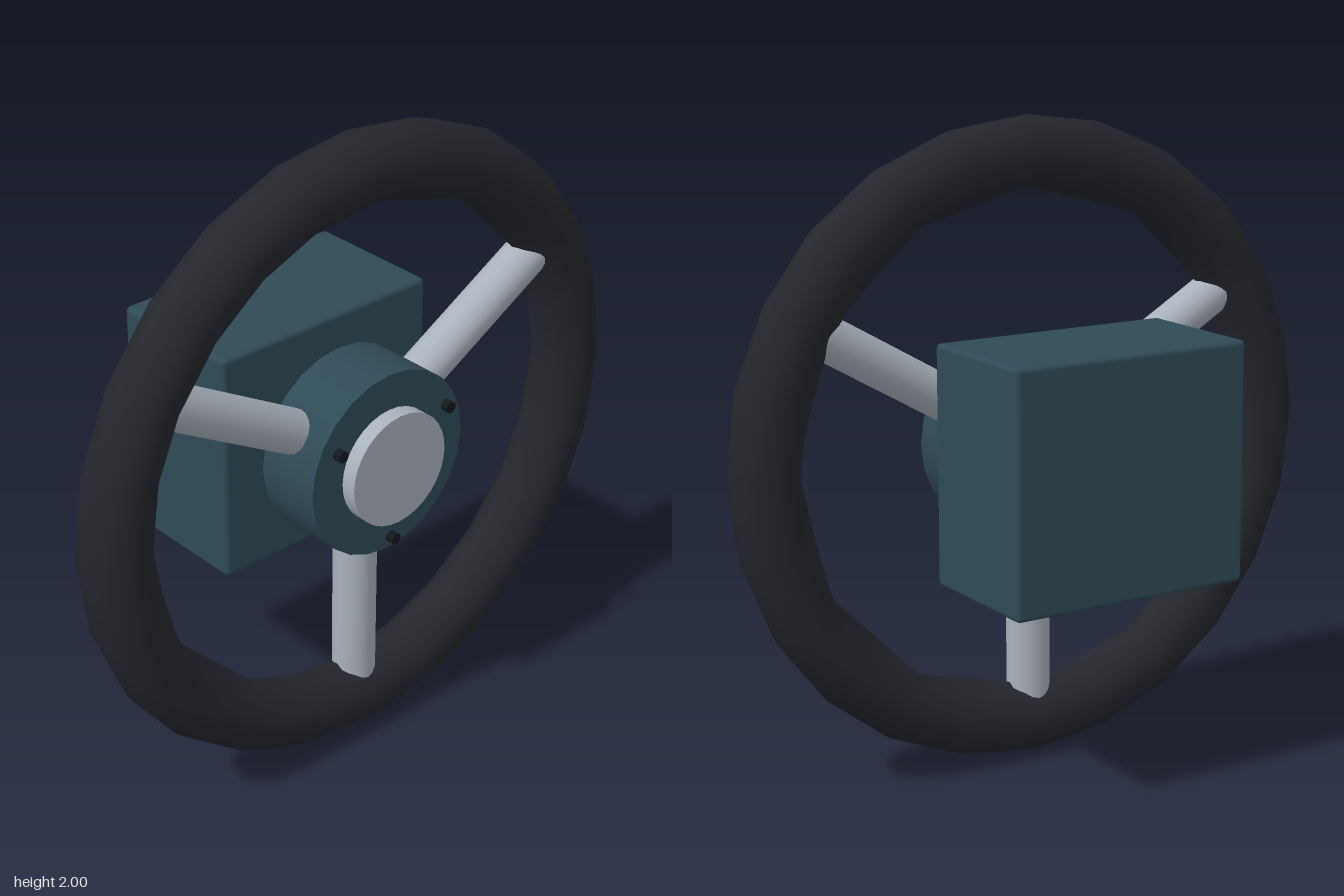
import * as THREE from 'three';
import { RoundedBoxGeometry } from 'three/addons/geometries/RoundedBoxGeometry.js';

const material = (color) => new THREE.MeshStandardMaterial({ color });

export function createModel() {
  const model = new THREE.Group();
  model.name = 'steeringWheel';
  const teal = material(0x2f4b57);
  const metal = material(0xa9b1bb);
  const rubber = material(0x24262c);
  const black = material(0x14161a);
  const rimZ = 0.197;

  const add = (name, geometry, mat, x, y, z) => {
    const mesh = new THREE.Mesh(geometry, mat);
    mesh.name = name;
    mesh.position.set(x, y, z);
    model.add(mesh);
    return mesh;
  };
  // Cylinder along z between two depths
  const disc = (name, radius, z0, z1, mat, sides = 32, x = 0, y = 1) =>
    add(name, new THREE.CylinderGeometry(radius, radius, z1 - z0, sides).rotateX(Math.PI / 2),
      mat, x, y, (z0 + z1) / 2);

  // Rim: the innermost ring has only twelve corners, so every second
  // vertex is drawn in to the middle of a straight chord
  const sides = 12, segments = 24;
  const rim = new THREE.TorusGeometry(0.893, 0.107, sides, segments);
  const p = rim.attributes.position;
  const chord = Math.cos(Math.PI / 12);
  for (let i = 1; i < segments; i += 2) {
    const k = (sides / 2) * (segments + 1) + i;
    p.setXY(k, p.getX(k) * chord, p.getY(k) * chord);
  }
  add('rim', rim, rubber, 0, 1, rimZ);

  // Housing, shaft, hub and centre cap
  add('housing', new RoundedBoxGeometry(0.79, 0.735, 0.453, 2, 0.016), teal, 0, 1.002, -0.1575);
  disc('shaft', 0.145, 0.05, 0.15, metal);
  disc('hub', 0.295, 0.12, 0.337, teal, 24);
  disc('centreCap', 0.18, 0.32, 0.386, metal);

  // Three spokes, each with a bolt in line on the hub
  for (let i = 0; i < 3; i++) {
    const a = -Math.PI / 2 + (i * Math.PI * 2) / 3;
    const c = Math.cos(a), s = Math.sin(a);
    const spoke = add('spoke', new THREE.CylinderGeometry(0.068, 0.068, 0.65, 20),
      metal, c * 0.535, 1 + s * 0.535, rimZ);
    spoke.rotation.z = a - Math.PI / 2;
    disc('bolt', 0.018, 0.351, 0.377, black, 12, c * 0.245, 1 + s * 0.245);
  }
  return model;
}
